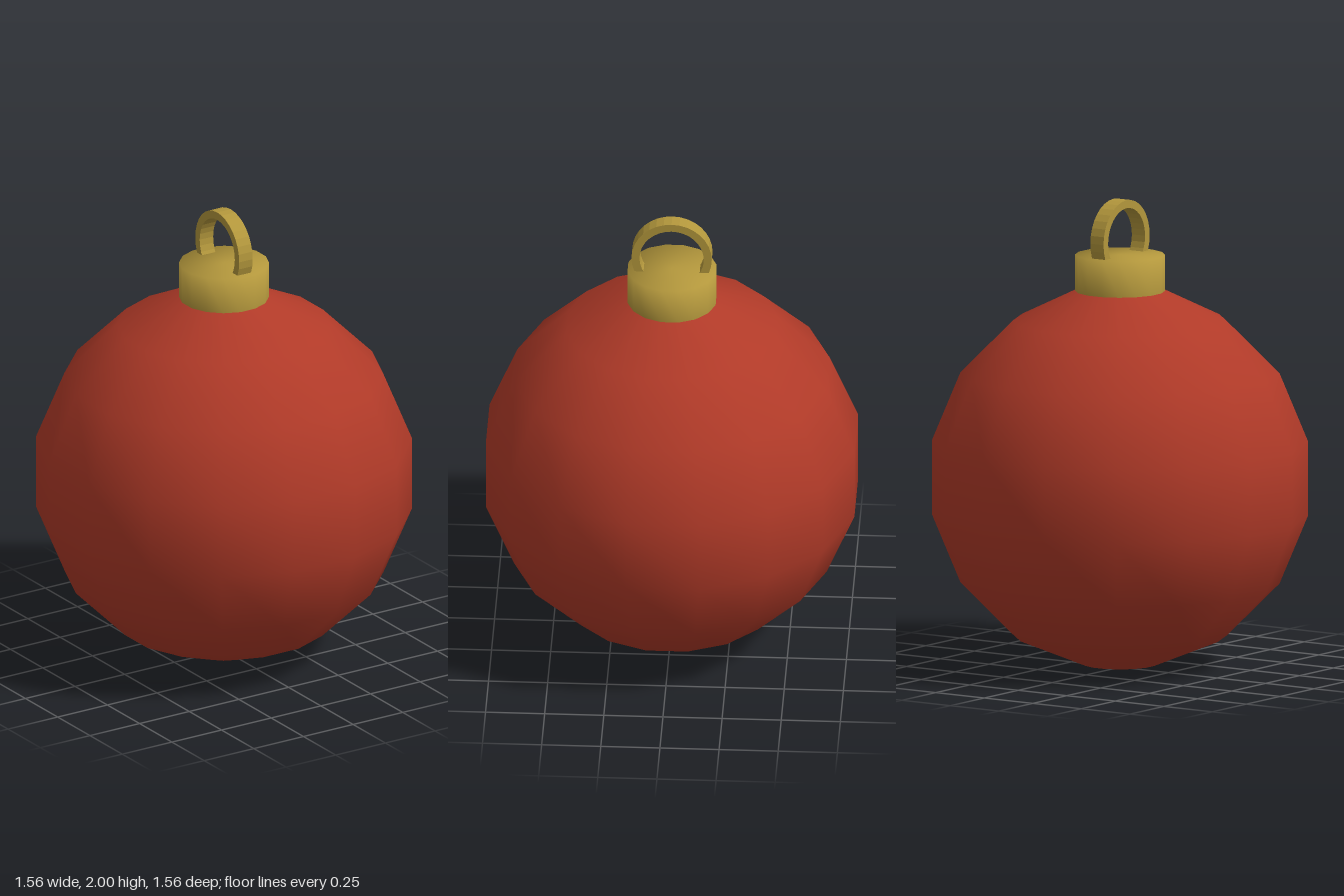
import * as THREE from 'three';

const SIDES = 16;

// Turned part with a flat side facing each axis
function turned(name, profile, material) {
  const points = profile.map(([r, y]) => new THREE.Vector2(r, y));
  const mesh = new THREE.Mesh(new THREE.LatheGeometry(points, SIDES, Math.PI / SIDES), material);
  mesh.name = name;
  return mesh;
}

export function createModel() {
  const red = new THREE.MeshStandardMaterial({ color: 0xb03a28 });
  red.name = 'ornament red';
  const gold = new THREE.MeshStandardMaterial({ color: 0xb3973c });
  gold.name = 'cap gold';

  const group = new THREE.Group();
  group.name = 'bauble';

  // Ball: sphere profile from the bottom pole, opened at the top to meet the cap
  const R = 0.81;
  const neck = [0.19, 1.61];
  const ballProfile = [[0, 0]];
  for (let i = 0; i < 7; i++) {
    const a = ((i + 0.5) * Math.PI) / 8;
    ballProfile.push([R * Math.sin(a), R - R * Math.cos(a)]);
  }
  ballProfile.push(neck);
  group.add(turned('ball', ballProfile, red));

  // Cap: short closed cylinder with a softly shaded rim
  group.add(turned('cap', [neck, [0.19, 1.765], [0, 1.765]], gold));

  // Hanging ring: flat band standing in the cap, its axis along x
  const width = 0.068;
  const band = new THREE.Shape().absarc(0, 0, 0.17, 0, Math.PI * 2, false);
  band.holes.push(new THREE.Path().absarc(0, 0, 0.136, 0, Math.PI * 2, true));
  const ringGeometry = new THREE.ExtrudeGeometry(band, { depth: width, bevelEnabled: false, curveSegments: 16 });
  ringGeometry.translate(0, 0, -width / 2);
  ringGeometry.rotateY(Math.PI / 2);
  const ring = new THREE.Mesh(ringGeometry, gold);
  ring.name = 'hangingRing';
  ring.position.y = 1.83;
  group.add(ring);

  return group;
}
